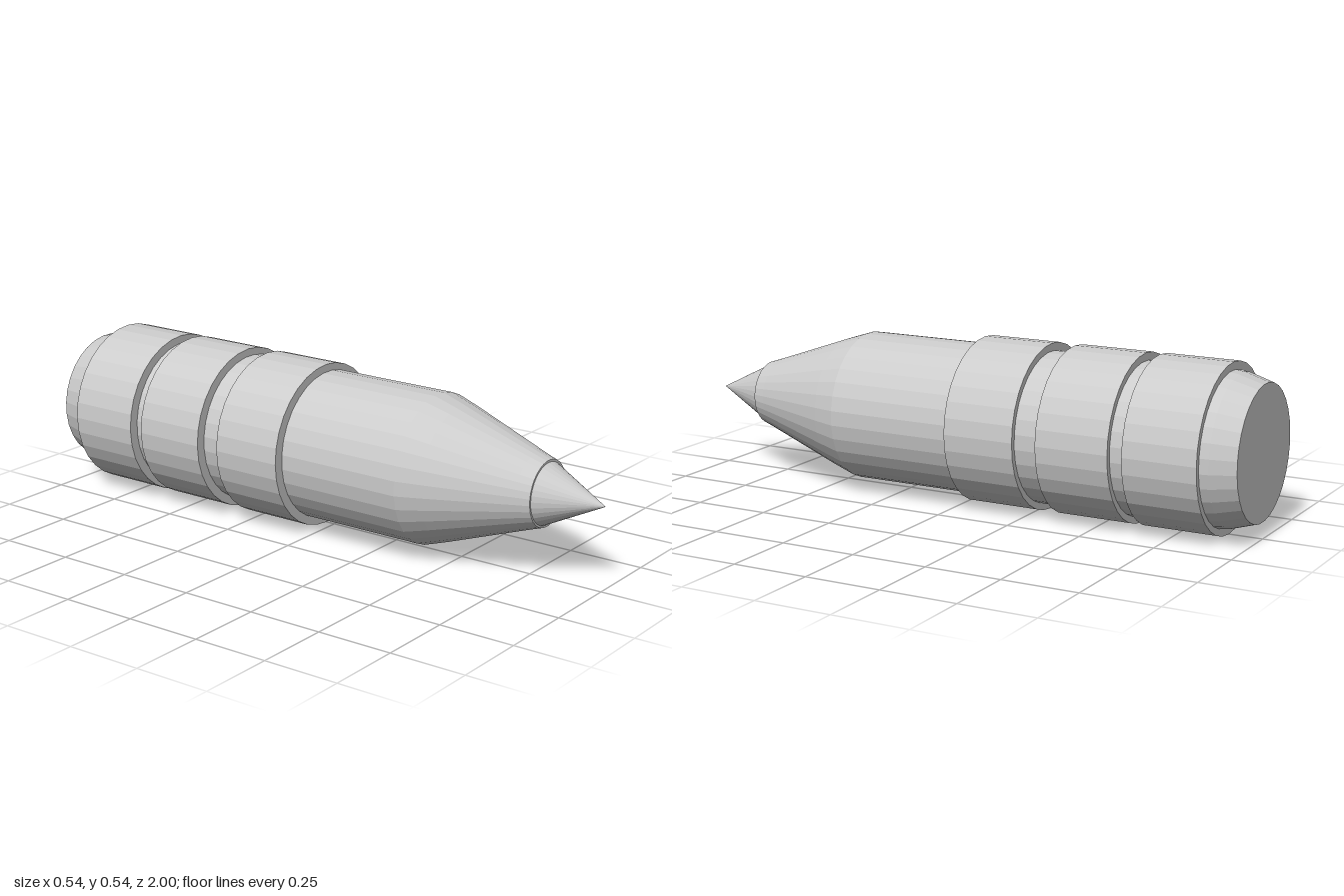
import * as THREE from 'three';

const SIDES = 32;
const AXIS_Y = 0.272;

export function createModel() {
  const group = new THREE.Group();
  const material = new THREE.MeshStandardMaterial({ color: 0xcccccc, flatShading: true });

  // Turns a [radius, z] profile (back to front) about the long axis
  const addTurned = (name, profile, x, phase = 0) => {
    const points = profile.map(([r, z]) => new THREE.Vector2(r, z));
    const geometry = new THREE.LatheGeometry(points, SIDES, phase);
    geometry.rotateX(Math.PI / 2);
    const mesh = new THREE.Mesh(geometry, material);
    mesh.name = name;
    mesh.position.set(x, AXIS_Y, 0);
    group.add(mesh);
  };

  // Shaft with chamfered tail and tapered nose
  addTurned('body', [
    [0, -1], [0.217, -1], [0.241, -0.92], [0.245, -0.89],
    [0.245, 0.4], [0.219, 0.48], [0.122, 0.755], [0.107, 0.8], [0, 0.8],
  ], 0.008, Math.PI / SIDES);

  // Pointed tip, slightly narrower than the nose end
  addTurned('tip', [[0, 0.798], [0.101, 0.798], [0, 1]], 0.007);

  // Three raised grip bands
  [[-0.275, -0.033], [-0.6, -0.355], [-0.89, -0.647]].forEach(([back, front], i) => {
    addTurned(`gripBand${i + 1}`, [[0, back], [0.27, back], [0.27, front], [0, front]], 0);
  });

  return group;
}
